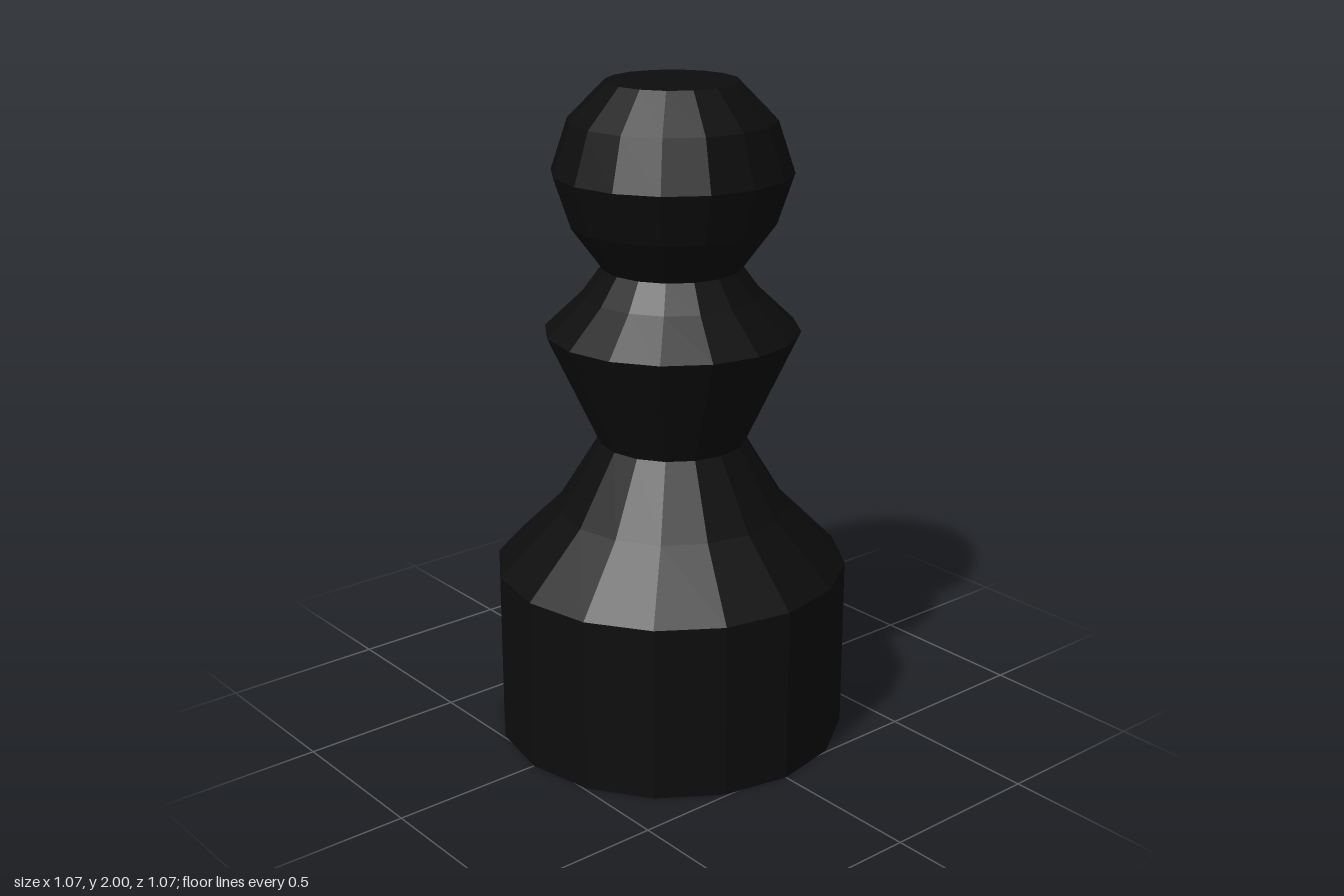
import * as THREE from 'three';

const SIDES = 16;

// Faceted ring section: each profile entry is [radius, height, sideways shift]
function turned(name, profile, material) {
  const points = profile.map(([r, y]) => new THREE.Vector2(r, y));
  const lathe = new THREE.LatheGeometry(points, SIDES);
  const pos = lathe.attributes.position;
  for (let i = 0; i < pos.count; i++) {
    const shift = profile[i % profile.length][2] ?? 0;
    pos.setX(i, pos.getX(i) + shift);
  }
  const geometry = lathe.toNonIndexed();
  geometry.computeVertexNormals();
  const mesh = new THREE.Mesh(geometry, material);
  mesh.name = name;
  return mesh;
}

export function createModel() {
  const black = new THREE.MeshStandardMaterial({ color: 0x0d0d0d, flatShading: true });
  black.name = 'black';

  const model = new THREE.Group();
  model.name = 'pawn';
  model.add(
    // Broad drum with a closed underside
    turned('base', [[0, 0], [0.534, 0], [0.534, 0.535]], black),
    // Shoulder narrowing to the waist
    turned('shoulder', [[0.534, 0.535], [0.35, 0.72, 0.005], [0.222, 0.93, 0.008]], black),
    // Flared collar between waist and neck
    turned('collar', [[0.222, 0.93, 0.008], [0.38, 1.27, 0.008], [0.265, 1.38, 0.008], [0.207, 1.46, 0.008]], black),
    // Rounded head with a flat top
    turned('head', [[0.207, 1.46, 0.008], [0.303, 1.59, 0.008], [0.353, 1.74, 0.008],
      [0.303, 1.89, 0.008], [0.194, 2, 0.008], [0, 2, 0.008]], black),
  );
  return model;
}
